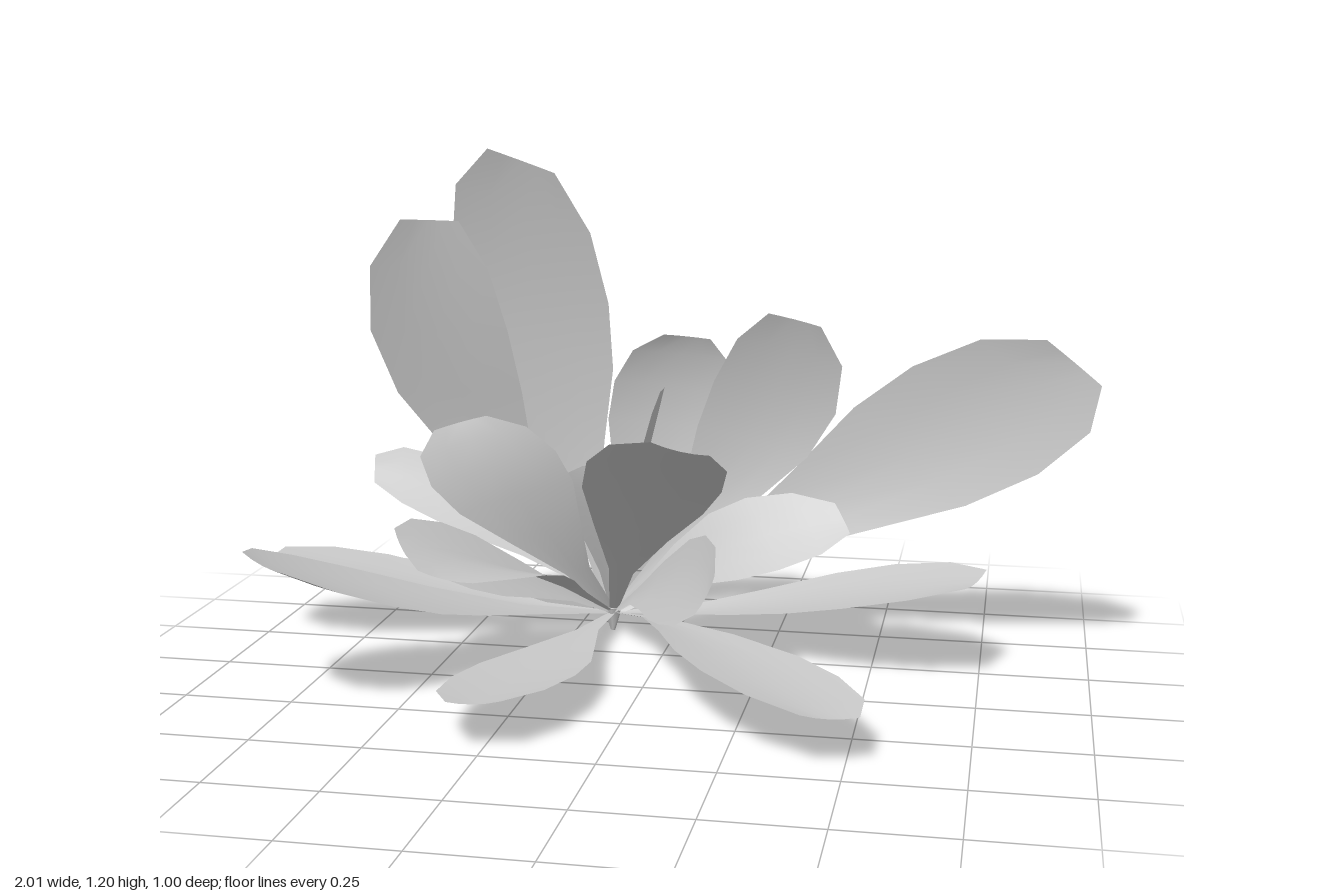
import * as THREE from 'three';

const V = (a) => new THREE.Vector3(...a);
const BASE = [-0.16, 0.045, -0.435]; // point where all leaves meet
const FACING = V([0, 1, 0.5]);       // general direction of the leaves' inner faces
const WIDEST = 0.68;                 // position of the widest section

// Leaf stations: [position along the leaf, share of the full width]
const STATIONS = [[0, 0.06], [0.18, 0.2], [0.36, 0.58], [0.54, 0.92],
  [0.7, 1], [0.87, 0.85], [1, 0.42]];
const ACROSS = 4;

// Each leaf: one edge at the widest section, the opposite edge, the tip, bow of the lower part
const uprightLeaves = [
  [[-0.53, 0.94, -0.34], [-0.17, 0.80, -0.45], [-0.36, 1.17, -0.34], -0.02],
  [[-0.66, 0.77, -0.11], [-0.38, 0.75, -0.29], [-0.54, 1.04, -0.18], -0.04],
  [[-0.16, 0.62, -0.45], [0.11, 0.60, -0.45], [0.03, 0.75, -0.41], -0.01],
  [[0.09, 0.63, -0.42], [0.39, 0.57, -0.36], [0.30, 0.81, -0.32], -0.02],
  [[0.55, 0.68, -0.43], [0.85, 0.45, -0.34], [0.94, 0.73, -0.31], -0.06],
  [[-0.02, 0.53, -0.12], [-0.03, 0.54, -0.30], [0.01, 0.66, -0.20]],
  [[-0.25, 0.39, -0.29], [-0.10, 0.39, -0.29], [-0.17, 0.45, -0.28]],
  [[-0.53, 0.41, -0.14], [-0.26, 0.48, -0.27], [-0.48, 0.56, -0.20]],
  [[-0.11, 0.53, 0.10], [0.18, 0.46, 0.04], [0.13, 0.61, 0.26]],
];
const spreadingLeaves = [
  [[0.52, 0.19, -0.46], [0.42, 0.16, -0.15], [0.74, 0.24, -0.19], -0.015],
  [[0.17, 0.36, -0.38], [0.27, 0.22, -0.25], [0.42, 0.34, -0.32]],
  [[0.14, 0.355, -0.03], [0.04, 0.15, 0.00], [0.17, 0.27, 0.16]],
  [[-0.78, 0.29, 0.10], [-0.50, 0.22, 0.23], [-0.76, 0.345, 0.36], -0.01],
  [[-0.75, 0.14, -0.50], [-0.78, 0.15, -0.19], [-1.00, 0.19, -0.30], -0.015],
  [[-0.60, 0.41, -0.48], [-0.58, 0.26, -0.39], [-0.77, 0.39, -0.42]],
  [[-0.50, 0.33, -0.12], [-0.40, 0.20, -0.02], [-0.56, 0.32, 0.03]],
  [[-0.47, 0.34, 0.15], [-0.19, 0.28, 0.12], [-0.36, 0.33, 0.34]],
  [[-0.37, 0.08, 0.25], [-0.10, 0.09, 0.22], [-0.26, 0.11, 0.49]],
  [[0.17, 0.13, 0.27], [0.45, 0.10, 0.16], [0.47, 0.11, 0.44], 0.02],
];

// Paddle-shaped blade swept along a curved midrib, slightly cupped
function leafGeometry([edgeA, edgeB, tipPoint, bow = 0]) {
  const a = V(edgeA), b = V(edgeB), tip = V(tipPoint), base = V(BASE);
  const mid = a.clone().add(b).multiplyScalar(0.5);
  const half = b.clone().sub(a).multiplyScalar(0.5);
  const u = WIDEST, w = 1 - u;
  // Control point that makes the midrib pass through the widest section
  const control = mid.clone().addScaledVector(base, -w * w).addScaledVector(tip, -u * u)
    .divideScalar(2 * u * w);
  const rib = new THREE.QuadraticBezierCurve3(base, control, tip);
  const normal = half.clone().cross(tip.clone().sub(base)).normalize();
  if (normal.dot(FACING) < 0) normal.negate();

  const positions = [], index = [];
  STATIONS.forEach(([t, width], i) => {
    const center = rib.getPoint(t).addScaledVector(normal, bow * 9.5 * t * (1 - t) ** 3);
    for (let j = 0; j <= ACROSS; j++) {
      const s = (j / ACROSS) * 2 - 1;
      const cup = 0.1 * half.length() * width * (s * s - 0.5);
      const p = center.clone().addScaledVector(half, s * width).addScaledVector(normal, cup);
      positions.push(p.x, p.y, p.z);
      if (i && j) {
        const d = i * (ACROSS + 1) + j, c = d - 1, q = d - ACROSS - 1, r = q - 1;
        index.push(r, q, d, r, d, c);
      }
    }
  });
  const geometry = new THREE.BufferGeometry();
  geometry.setAttribute('position', new THREE.Float32BufferAttribute(positions, 3));
  geometry.setIndex(index);
  geometry.computeVertexNormals();
  return geometry;
}

export function createModel() {
  const model = new THREE.Group();
  model.name = 'leafyPlant';
  const material = new THREE.MeshStandardMaterial({ color: 0xcccccc, side: THREE.DoubleSide });

  const addLeaves = (list, name) => {
    const group = new THREE.Group();
    group.name = name;
    list.forEach((leaf, i) => {
      const mesh = new THREE.Mesh(leafGeometry(leaf), material);
      mesh.name = `${name}${i + 1}`;
      group.add(mesh);
    });
    model.add(group);
  };
  addLeaves(uprightLeaves, 'uprightLeaf');
  addLeaves(spreadingLeaves, 'spreadingLeaf');

  // Small pointed root below the leaves
  const root = new THREE.Mesh(new THREE.CylinderGeometry(0.025, 0.006, 0.06, 6), material);
  root.name = 'root';
  root.position.set(BASE[0], 0.03, BASE[2]);
  model.add(root);
  return model;
}
